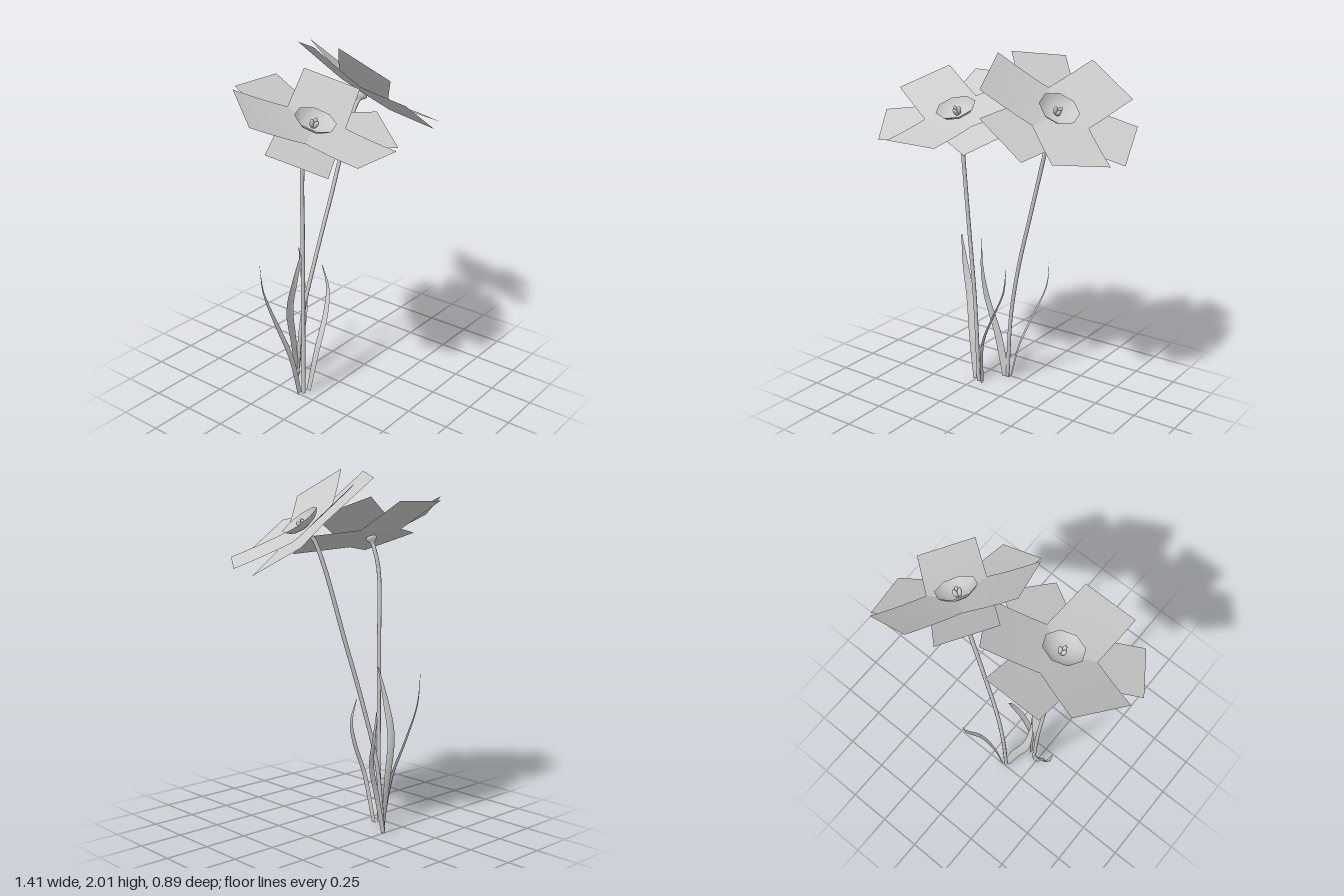
import * as THREE from 'three';

const V = (x, y, z) => new THREE.Vector3(x, y, z);
const solid = new THREE.MeshStandardMaterial({ color: 0xcccccc });
const thin = new THREE.MeshStandardMaterial({ color: 0xcccccc, side: THREE.DoubleSide });

function add(parent, name, geometry, material = solid) {
  const mesh = new THREE.Mesh(geometry, material);
  mesh.name = name;
  parent.add(mesh);
  return mesh;
}

const lathe = (profile, sides) =>
  new THREE.LatheGeometry(profile.map(([r, y]) => new THREE.Vector2(r, y)), sides);

// Surface through rows of three points each
function ribbon(rows) {
  const index = [];
  for (let i = 0; i < rows.length - 1; i++) {
    for (let j = 0; j < 2; j++) {
      const a = i * 3 + j, b = a + 3;
      index.push(a, a + 1, b, a + 1, b + 1, b);
    }
  }
  const g = new THREE.BufferGeometry().setFromPoints(rows.flat());
  g.setIndex(index);
  g.computeVertexNormals();
  return g;
}

// Petal along +z: a 120 degree wedge at the root, then straight sides, curling up to the tip
function petalGeometry(length, rise, lift, power) {
  const root = 0.16 / Math.sqrt(3);
  const stations = [0.002, root * 0.5, root, 0.16, 0.24, 0.32, length];
  return ribbon(stations.map((t) => {
    const half = Math.min(0.16, t * Math.sqrt(3));
    const y = rise + lift * Math.pow(t / length, power);
    return [V(half, y, t), V(0, y, t), V(-half, y, t)].reverse();
  }));
}

// Flower head: local +y is the facing direction, local +z an inner petal
function makeFlower(base, normal, direction) {
  const flower = new THREE.Group();
  flower.name = 'flower';
  const x = normal.clone().cross(direction).normalize();
  const z = x.clone().cross(normal);
  flower.quaternion.setFromRotationMatrix(new THREE.Matrix4().makeBasis(x, normal, z));
  flower.position.copy(base);

  // Two rings of three petals, the inner ring lying above the outer one
  const inner = petalGeometry(0.41, 0.014, 0.086, 1.3);
  const outer = petalGeometry(0.425, 0, 0.04, 1.1);
  for (let i = 0; i < 6; i++) {
    const isInner = i % 2 === 0;
    const petal = add(flower, isInner ? 'innerPetal' : 'outerPetal', isInner ? inner : outer, thin);
    petal.rotation.y = i * Math.PI / 3;
  }

  // Eight-sided cup
  add(flower, 'cup', lathe([[0.001, 0.017], [0.035, 0.02], [0.065, 0.029], [0.092, 0.045], [0.113, 0.068]], 8), thin);

  // Three stamens leaning outward
  for (let i = 0; i < 3; i++) {
    const stamen = new THREE.Group();
    stamen.name = 'stamen';
    stamen.rotation.set(0.28, i * Math.PI * 2 / 3, 0, 'YXZ');
    add(stamen, 'filament', new THREE.CylinderGeometry(0.004, 0.004, 0.02, 5)).position.y = 0.025;
    const anther = add(stamen, 'anther', new THREE.SphereGeometry(0.0125, 8, 6));
    anther.scale.y = 2;
    anther.position.y = 0.046;
    flower.add(stamen);
  }

  // Flared collar between stem and petals
  add(flower, 'collar', lathe([[0.011, -0.045], [0.015, -0.034], [0.026, -0.022], [0.032, -0.01], [0.028, 0]], 10), thin);
  return flower;
}

// Slender folded leaf whose width turns from direction low to direction high
function leafGeometry({ points, low, high, width }) {
  const curve = new THREE.CatmullRomCurve3(points);
  const rows = [];
  for (let i = 0; i <= 16; i++) {
    const t = i / 16;
    const half = width * (0.012 + 0.014 * Math.sin(Math.PI * Math.min(1, t * 0.85 + 0.2)) - 0.008 * t ** 3);
    const side = low.clone().lerp(high, t).normalize();
    const c = curve.getPoint(t);
    rows.push([
      c.clone().addScaledVector(side, -half),
      c.clone().addScaledVector(V(side.z, 0, -side.x), half * 0.3),
      c.clone().addScaledVector(side, half),
    ]);
  }
  return ribbon(rows);
}

export function createModel() {
  const model = new THREE.Group();
  model.name = 'flowers';

  // Flower heads
  const heads = [
    { base: V(-0.26, 1.633, 0.025), normal: V(0, 0.92, 0.39), direction: V(0, 0, 1),
      stem: [V(-0.222, 0, -0.09), V(-0.232, 0.5, -0.075), V(-0.255, 1.0, -0.05), V(-0.273, 1.45, -0.025)] },
    { base: V(0.3, 1.688, -0.07), normal: V(0.55, 0.79, 0.26), direction: V(0.13, 0.16, -0.36),
      stem: [V(-0.11, 0, -0.235), V(-0.075, 0.4, -0.215), V(0.0, 0.74, -0.18), V(0.11, 1.12, -0.145), V(0.22, 1.5, -0.112)] },
  ];
  for (const h of heads) {
    const n = h.normal.normalize();
    model.add(makeFlower(h.base, n, h.direction));
    // Stem bends at the top to meet the back of the flower
    const path = [...h.stem, h.base.clone().addScaledVector(n, -0.06), h.base.clone().addScaledVector(n, -0.005)];
    add(model, 'stem', new THREE.TubeGeometry(new THREE.CatmullRomCurve3(path), 28, 0.0115, 8), thin);
  }

  // Leaves, two beside each stem
  const leaves = [
    { low: V(0.98, 0, -0.2), high: V(0.75, 0, -0.66), width: 1.05, points: [V(-0.245, 0, -0.1),
      V(-0.285, 0.25, -0.125), V(-0.345, 0.48, -0.18), V(-0.405, 0.68, -0.21), V(-0.43, 0.86, -0.21)] },
    { low: V(0.06, 0, 1), high: V(0.06, 0, 1), width: 0.7, points: [V(-0.19, 0, -0.08),
      V(-0.155, 0.28, -0.04), V(-0.075, 0.48, -0.04), V(-0.025, 0.62, -0.065), V(-0.03, 0.75, -0.1)] },
    { low: V(0.95, 0, -0.3), high: V(0.8, 0, 0.6), width: 1.05, points: [V(-0.115, 0, -0.225),
      V(-0.165, 0.28, -0.21), V(-0.225, 0.52, -0.18), V(-0.225, 0.72, -0.135), V(-0.2, 0.91, -0.1)] },
    { low: V(0.75, 0, 0.66), high: V(0.75, 0, 0.66), width: 0.55, points: [V(-0.095, 0, -0.25),
      V(-0.04, 0.22, -0.255), V(0.035, 0.42, -0.285), V(0.085, 0.6, -0.355), V(0.088, 0.74, -0.375)] },
  ];
  for (const l of leaves) add(model, 'leaf', leafGeometry(l), thin);
  return model;
}
